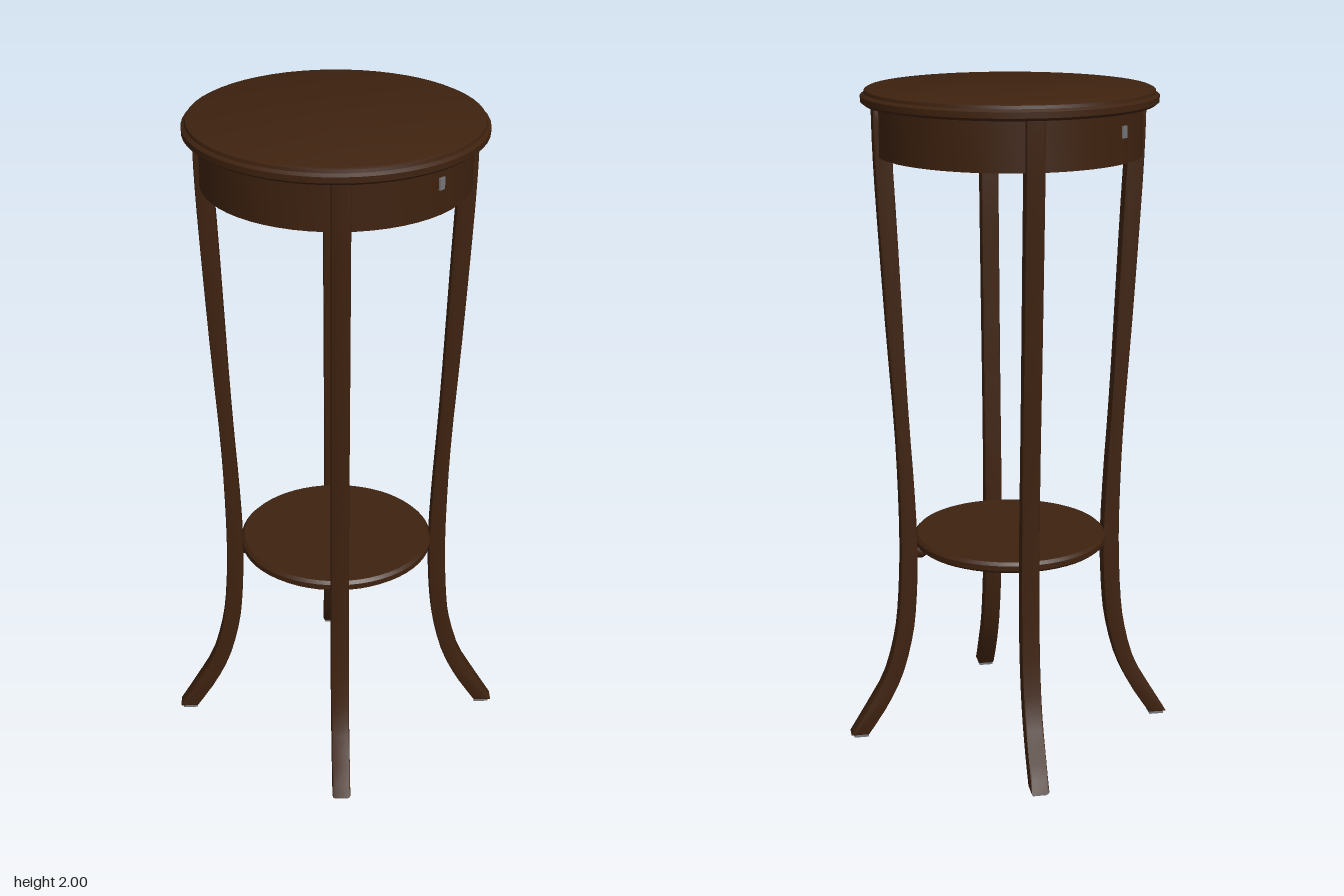
import * as THREE from 'three';
import { toCreasedNormals } from 'three/addons/utils/BufferGeometryUtils.js';

function material(name, color) {
  const m = new THREE.MeshStandardMaterial({ color });
  m.name = name;
  return m;
}

export function createModel() {
  const wood = material('dark walnut', 0x3e220f);
  const metal = material('dull metal', 0x77777a);
  const group = new THREE.Group();
  group.name = 'plantStand';

  const add = (parent, name, geometry, mat) => {
    const mesh = new THREE.Mesh(geometry, mat);
    mesh.name = name;
    parent.add(mesh);
    return mesh;
  };
  // Closed profiles run from the bottom axis outwards and up to the top axis
  const turned = (points) => toCreasedNormals(
    new THREE.LatheGeometry(points.map(([r, y]) => new THREE.Vector2(r, y)), 56), 0.5);

  // Round top with a softened, stepped edge
  add(group, 'tableTop', turned([
    [0, 1.955], [0.42, 1.955], [0.43, 1.963], [0.43, 1.98],
    [0.42, 1.987], [0.418, 1.996], [0.41, 2], [0, 2],
  ]), wood);

  // Apron drum with a shallow recess underneath
  add(group, 'apron', turned([
    [0, 1.83], [0.37, 1.83], [0.37, 1.81], [0.385, 1.81], [0.385, 1.957], [0, 1.957],
  ]), wood);

  // Lower shelf
  add(group, 'shelf', turned([
    [0, 0.617], [0.283, 0.617], [0.293, 0.625], [0.293, 0.641], [0.284, 0.65], [0, 0.65],
  ]), wood);

  // Leg outline seen from the side: radius, height
  const outer = [[0.505, 0.008], [0.45, 0.1], [0.395, 0.2], [0.362, 0.32], [0.348, 0.43],
    [0.34, 0.6], [0.342, 0.8], [0.35, 1], [0.37, 1.3], [0.39, 1.65], [0.398, 1.83], [0.4, 1.957]];
  const inner = [[0.345, 1.957], [0.345, 1.81], [0.335, 1.6], [0.318, 1.2], [0.308, 1],
    [0.296, 0.8], [0.289, 0.6], [0.296, 0.43], [0.31, 0.32], [0.342, 0.2], [0.39, 0.1], [0.45, 0.008]];
  const smooth = (points) => new THREE.SplineCurve(
    points.map(([r, y]) => new THREE.Vector2(r, y))).getPoints(26);
  const width = 0.054, bevel = 0.006;
  const legGeometry = new THREE.ExtrudeGeometry(
    new THREE.Shape([...smooth(outer), ...smooth(inner)]),
    { depth: width - 2 * bevel, bevelEnabled: true, bevelThickness: bevel,
      bevelSize: bevel, bevelOffset: -bevel, bevelSegments: 2 });
  legGeometry.translate(0, 0, bevel - width / 2);
  const legSurface = toCreasedNormals(legGeometry, 0.5);

  // Four splayed legs, each with a shelf peg and a floor glide
  for (let i = 0; i < 4; i++) {
    const leg = new THREE.Group();
    leg.name = 'legAssembly';
    leg.rotation.y = i * Math.PI / 2;
    add(leg, 'leg', legSurface, wood);
    add(leg, 'shelfPeg', new THREE.SphereGeometry(0.024, 16, 12), wood).position.set(0.28, 0.602, 0);
    add(leg, 'footGlide', new THREE.BoxGeometry(0.045, 0.009, 0.044), metal).position.set(0.474, 0.0045, 0);
    group.add(leg);
  }

  // Small metal keyhole plates on two opposite diagonals of the apron
  for (const angle of [Math.PI / 4, Math.PI * 5 / 4]) {
    const plate = add(group, 'keyholePlate', new THREE.BoxGeometry(0.02, 0.034, 0.008), metal);
    plate.position.set(0.386 * Math.sin(angle), 1.9, 0.386 * Math.cos(angle));
    plate.rotation.y = angle;
  }
  return group;
}
